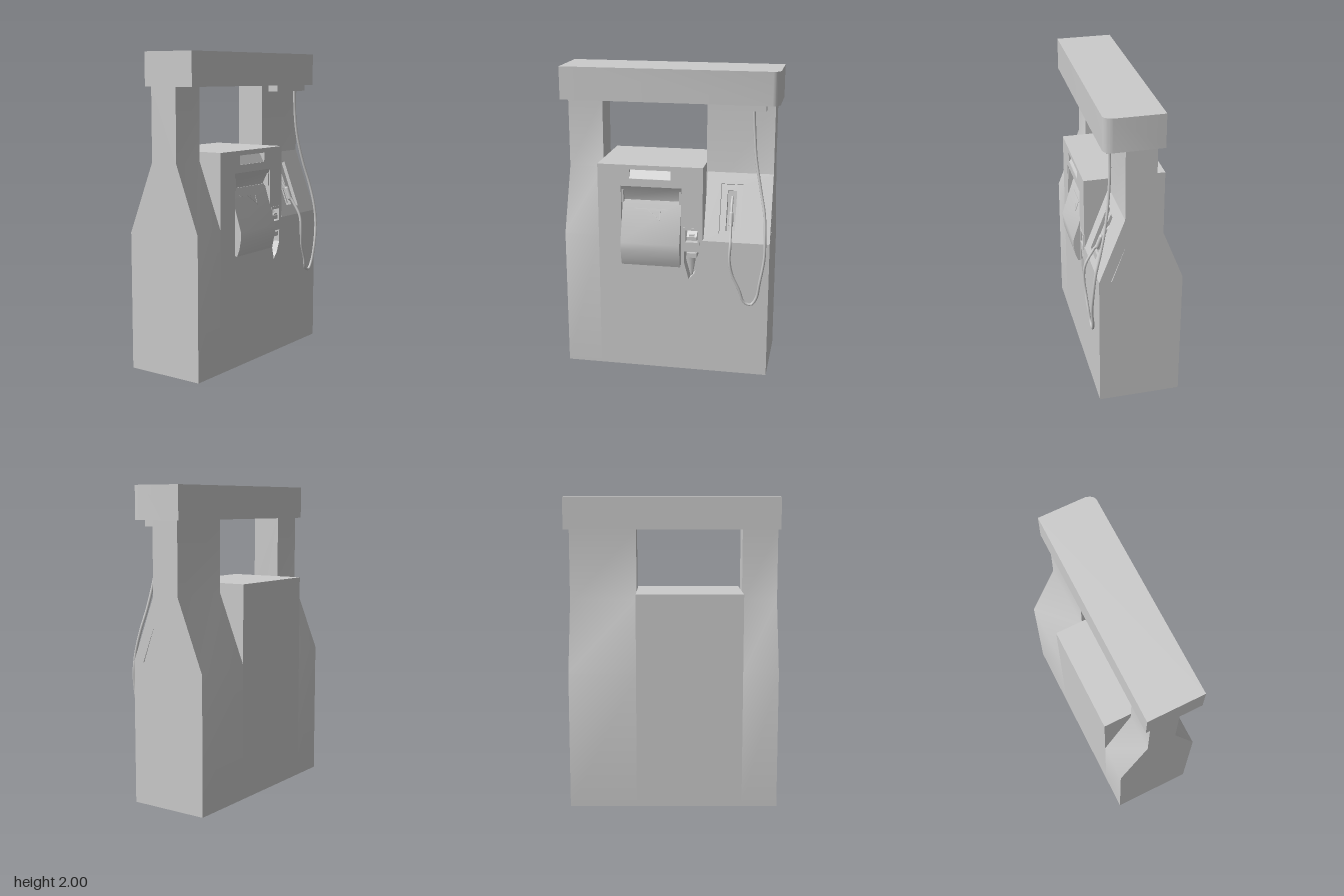
import * as THREE from 'three';
import { toCreasedNormals } from 'three/addons/utils/BufferGeometryUtils.js';

const grey = new THREE.MeshStandardMaterial({ color: 0xcccccc });

function add(parent, name, geometry) {
  const mesh = new THREE.Mesh(geometry, grey);
  mesh.name = name;
  parent.add(mesh);
  return mesh;
}

// Box given by its limits on each axis
function box(parent, name, [x0, x1], [y0, y1], [z0, z1]) {
  const geo = new THREE.BoxGeometry(x1 - x0, y1 - y0, z1 - z0);
  geo.translate((x0 + x1) / 2, (y0 + y1) / 2, (z0 + z1) / 2);
  return add(parent, name, geo);
}

const polygon = (points) => points.map(([x, y]) => new THREE.Vector2(x, y));
const rect = (x0, x1, y0, y1) => [[x0, y0], [x1, y0], [x1, y1], [x0, y1]];

// Flat plate with cut-outs, spanning z0 to z1
function plate(parent, name, outline, holes, z0, z1) {
  const shape = new THREE.Shape(polygon(outline));
  holes.forEach((h) => shape.holes.push(new THREE.Path(polygon(h))));
  const geo = new THREE.ExtrudeGeometry(shape, { depth: z1 - z0, bevelEnabled: false });
  geo.translate(0, 0, z0);
  return add(parent, name, geo);
}

// Side profile of [z, y] points swept from x0 to x1
function sweepX(parent, name, points, x0, x1) {
  const shape = new THREE.Shape(polygon(points));
  let geo = new THREE.ExtrudeGeometry(shape, { depth: x1 - x0, bevelEnabled: false });
  geo.rotateY(-Math.PI / 2).translate(x1, 0, 0);
  geo = toCreasedNormals(geo, 0.5);
  return add(parent, name, geo);
}

// Group lying on a face that leans back by the given angle
function slopedGroup(parent, name, y, z, tilt) {
  const group = new THREE.Group();
  group.name = name;
  group.position.set(0, y, z);
  group.rotation.x = -tilt;
  parent.add(group);
  return group;
}

export function createModel() {
  const model = new THREE.Group();
  model.name = 'fuelPump';

  // Columns, narrow at the top and flaring to full depth
  const back = [[-0.11, 1.8], [-0.11, 1.33], [-0.29, 0.88], [-0.29, 0]];
  sweepX(model, 'rightColumn', [[0.24, 0], [0.24, 0.91], [0.08, 1.33], [0.08, 1.8], ...back], -0.685, -0.457);
  sweepX(model, 'leftColumn',
    [[0.24, 0], [0.24, 0.91], [0.16, 0.91], [0.08, 1.13], [0.08, 1.8], ...back], 0.228, 0.66);

  // Canopy with rounded front left corner
  const roof = new THREE.Shape();
  roof.moveTo(-0.7, -0.215);
  roof.lineTo(0.65, -0.215);
  roof.quadraticCurveTo(0.685, -0.21, 0.695, -0.16);
  roof.lineTo(0.695, 0.147);
  roof.lineTo(-0.7, 0.147);
  const roofGeo = new THREE.ExtrudeGeometry(roof, { depth: 0.21, bevelEnabled: false });
  roofGeo.rotateX(-Math.PI / 2).translate(0, 1.79, 0);
  add(model, 'canopy', toCreasedNormals(roofGeo, 0.6));
  box(model, 'hoseBracket', [0.262, 0.61], [1.75, 1.795], [0.11, 0.18]);

  // Central cabinet: core plus front plate with recesses
  box(model, 'cabinetCore', [-0.457, 0.228], [0, 1.39], [-0.29, 0.16]);
  plate(model, 'cabinetFront', rect(-0.457, 0.228, 0, 1.39), [
    rect(-0.305, 0.09, 0.73, 1.25),
    rect(-0.25, 0.02, 1.3, 1.36),
    rect(0.11, 0.205, 0.885, 0.985),
    [[0.14, 0.64], [0.175, 0.68], [0.205, 0.75], [0.205, 0.83], [0.11, 0.83], [0.11, 0.75]],
  ], 0.16, 0.24);

  // Sloping surround above the screen, and the upper slot
  sweepX(model, 'screenSurround', [[0.16, 1.1], [0.19, 1.1], [0.195, 1.16], [0.24, 1.25], [0.16, 1.25]], -0.305, 0.09);
  sweepX(model, 'slotFloor', [[0.16, 1.3], [0.235, 1.3], [0.2, 1.36], [0.16, 1.36]], -0.25, 0.02);
  for (const x of [-0.302, 0.075]) box(model, 'screenHinge', [x, x + 0.012], [1.14, 1.22], [0.19, 0.235]);

  // Screen housing, bulging toward its lower edge
  sweepX(model, 'screen', [[0.16, 0.74], [0.2, 0.725], [0.255, 0.725], [0.272, 0.77], [0.283, 0.83],
    [0.285, 0.88], [0.2, 1.15], [0.16, 1.15]], -0.302, 0.085);
  const display = slopedGroup(model, 'display', 0.88, 0.285, 0.305);
  box(display, 'displayLine', [-0.22, 0.0], [0.225, 0.232], [-0.005, 0.004]);
  plate(display, 'displayPointer', [[-0.14, 0.225], [-0.05, 0.155], [-0.05, 0.225]],
    [[[-0.125, 0.219], [-0.056, 0.166], [-0.056, 0.219]]], -0.005, 0.003);

  // Card reader
  plate(model, 'cardReaderFrame', rect(0.103, 0.212, 0.878, 0.992), [rect(0.118, 0.198, 0.895, 0.975)], 0.2, 0.243);
  sweepX(model, 'cardReader', [[0.16, 0.905], [0.235, 0.905], [0.235, 0.93], [0.2, 0.965], [0.16, 0.965]], 0.125, 0.19);
  box(model, 'cardSlot', [0.14, 0.176], [0.935, 0.945], [0.2, 0.238]);

  // Receipt dispenser with a tapered chute
  box(model, 'dispenserCap', [0.125, 0.19], [0.79, 0.82], [0.16, 0.238]);
  const chute = new THREE.CylinderGeometry(0.032, 0.008, 0.13, 6);
  chute.translate(0.153, 0.725, 0.2);
  add(model, 'dispenserChute', chute);

  // Slanted nozzle panel with a stepped recess
  const panel = slopedGroup(model, 'nozzlePanel', 0.91, 0.24, 0.364);
  plate(panel, 'panelFace', rect(0.235, 0.66, 0, 0.45), [rect(0.33, 0.47, 0.055, 0.375)], -0.07, 0);
  plate(panel, 'recessStep', rect(0.33, 0.47, 0.055, 0.375), [rect(0.37, 0.43, 0.075, 0.335)], -0.069, -0.025);

  // Nozzle resting in the recess
  const nozzle = new THREE.CatmullRomCurve3([[0.405, 0.1, 0.005], [0.403, 0.18, -0.012], [0.4, 0.25, -0.03],
    [0.4, 0.3, -0.055]].map((p) => new THREE.Vector3(...p)));
  add(panel, 'nozzleSpout', new THREE.TubeGeometry(nozzle, 12, 0.009, 8));
  const grip = new THREE.CapsuleGeometry(0.015, 0.07, 4, 8);
  grip.translate(0.404, 0.15, -0.005);
  add(panel, 'nozzleGrip', grip);
  box(panel, 'nozzleTrigger', [0.4, 0.41], [0.09, 0.2], [-0.045, -0.035]);

  // Hose hanging from the canopy and looping up to the nozzle
  const hose = new THREE.CatmullRomCurve3([
    [0.53, 1.77, 0.145], [0.54, 1.6, 0.145], [0.553, 1.45, 0.155], [0.59, 1.25, 0.185], [0.62, 1.1, 0.22],
    [0.63, 0.95, 0.255], [0.63, 0.82, 0.27], [0.605, 0.66, 0.275], [0.585, 0.55, 0.265], [0.55, 0.502, 0.262],
    [0.505, 0.52, 0.264], [0.475, 0.6, 0.272], [0.43, 0.7, 0.278], [0.41, 0.8, 0.284], [0.412, 0.9, 0.272],
    [0.405, 1.01, 0.21],
  ].map((p) => new THREE.Vector3(...p)));
  add(model, 'hose', new THREE.TubeGeometry(hose, 90, 0.009, 8));

  return model;
}
